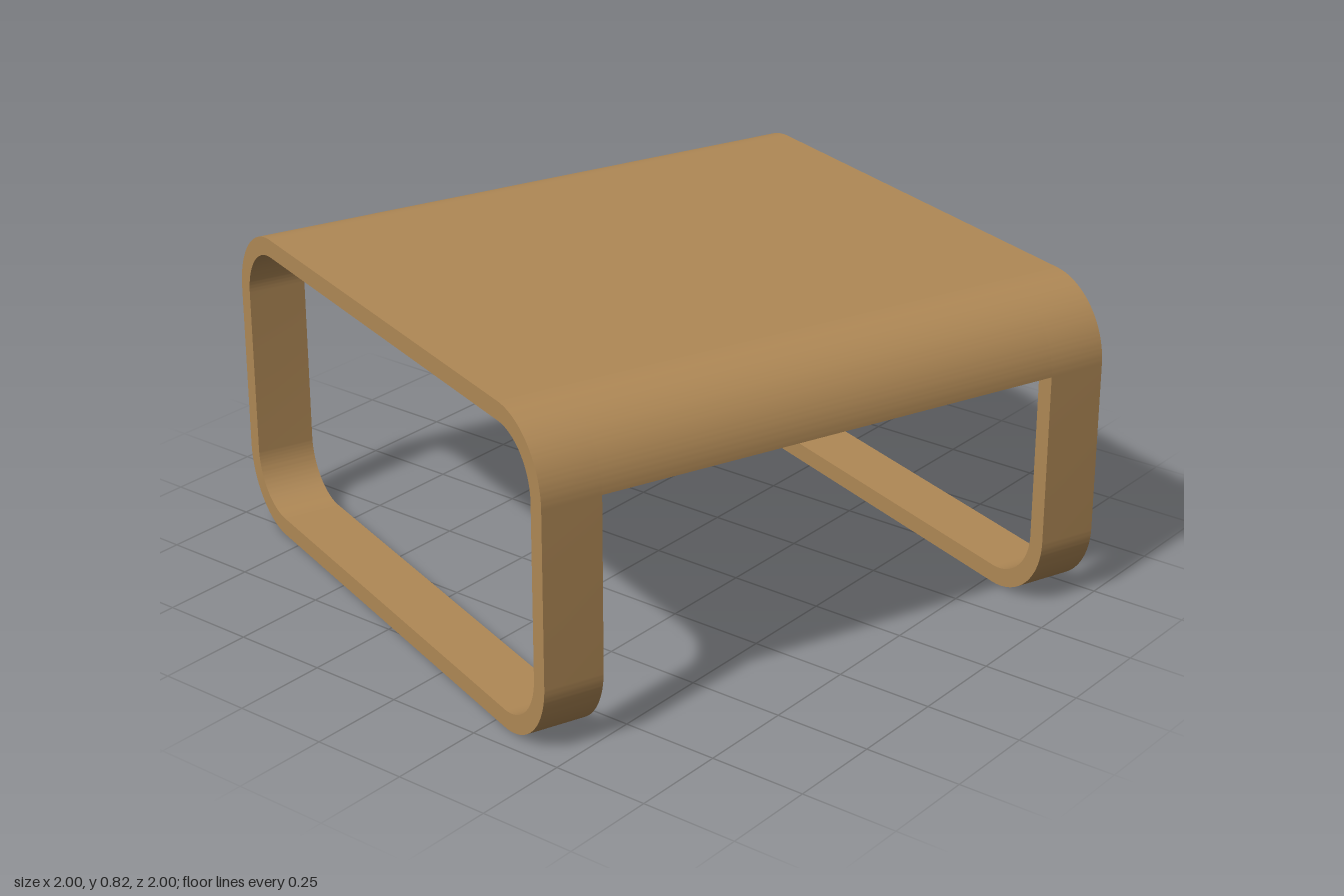
import * as THREE from 'three';
import { toCreasedNormals } from 'three/addons/utils/BufferGeometryUtils.js';

const SIDE = 1.56;     // footprint is square
const HEIGHT = 0.82;
const THICK = 0.047;   // board thickness
const RADIUS = 0.19;   // outer corner radius
const BAND = 0.154;    // width of each looped leg

// Rounded rectangle centred on x, inset evenly from the outer outline
function roundedRect(path, inset) {
  const w = SIDE / 2 - inset, b = inset, t = HEIGHT - inset, r = RADIUS - inset;
  path.moveTo(w, b + r);
  path.lineTo(w, t - r);
  path.absarc(w - r, t - r, r, 0, Math.PI / 2);
  path.lineTo(-w + r, t);
  path.absarc(-w + r, t - r, r, Math.PI / 2, Math.PI);
  path.lineTo(-w, b + r);
  path.absarc(-w + r, b + r, r, Math.PI, Math.PI * 1.5);
  path.lineTo(w - r, b);
  path.absarc(w - r, b + r, r, Math.PI * 1.5, Math.PI * 2);
  return path;
}

// Board bent down at both ends, stopping where the corner bends finish
function topProfile() {
  const s = new THREE.Shape();
  const y = HEIGHT - RADIUS, c = SIDE / 2 - RADIUS, ri = RADIUS - THICK;
  s.moveTo(c + RADIUS, y);
  s.absarc(c, y, RADIUS, 0, Math.PI / 2);
  s.absarc(-c, y, RADIUS, Math.PI / 2, Math.PI);
  s.lineTo(-c - ri, y);
  s.absarc(-c, y, ri, Math.PI, Math.PI / 2, true);
  s.absarc(c, y, ri, Math.PI / 2, 0, true);
  s.closePath();
  return s;
}

// Extrude a profile along x, centred on the given x position
function bentBoard(name, shape, width, x, material) {
  let geo = new THREE.ExtrudeGeometry(shape, { depth: width, bevelEnabled: false, curveSegments: 24 });
  geo.translate(0, 0, -width / 2);
  geo.rotateY(Math.PI / 2);
  geo = toCreasedNormals(geo, 0.5);
  const mesh = new THREE.Mesh(geo, material);
  mesh.name = name;
  mesh.position.x = x;
  return mesh;
}

export function createModel() {
  const group = new THREE.Group();
  group.name = 'coffeeTable';
  const wood = new THREE.MeshStandardMaterial({ color: 0xb08956 });
  wood.name = 'wood';

  // Looped legs on both sides
  const loop = roundedRect(new THREE.Shape(), 0);
  loop.holes.push(roundedRect(new THREE.Path(), THICK));
  for (const [name, side] of [['rightLegLoop', -1], ['leftLegLoop', 1]]) {
    group.add(bentBoard(name, loop, BAND, side * (SIDE - BAND) / 2, wood));
  }

  // Table top between the loops
  group.add(bentBoard('tableTop', topProfile(), SIDE - 2 * BAND, 0, wood));

  // The whole table stands turned on the floor
  group.rotation.y = -THREE.MathUtils.degToRad(20);
  return group;
}
